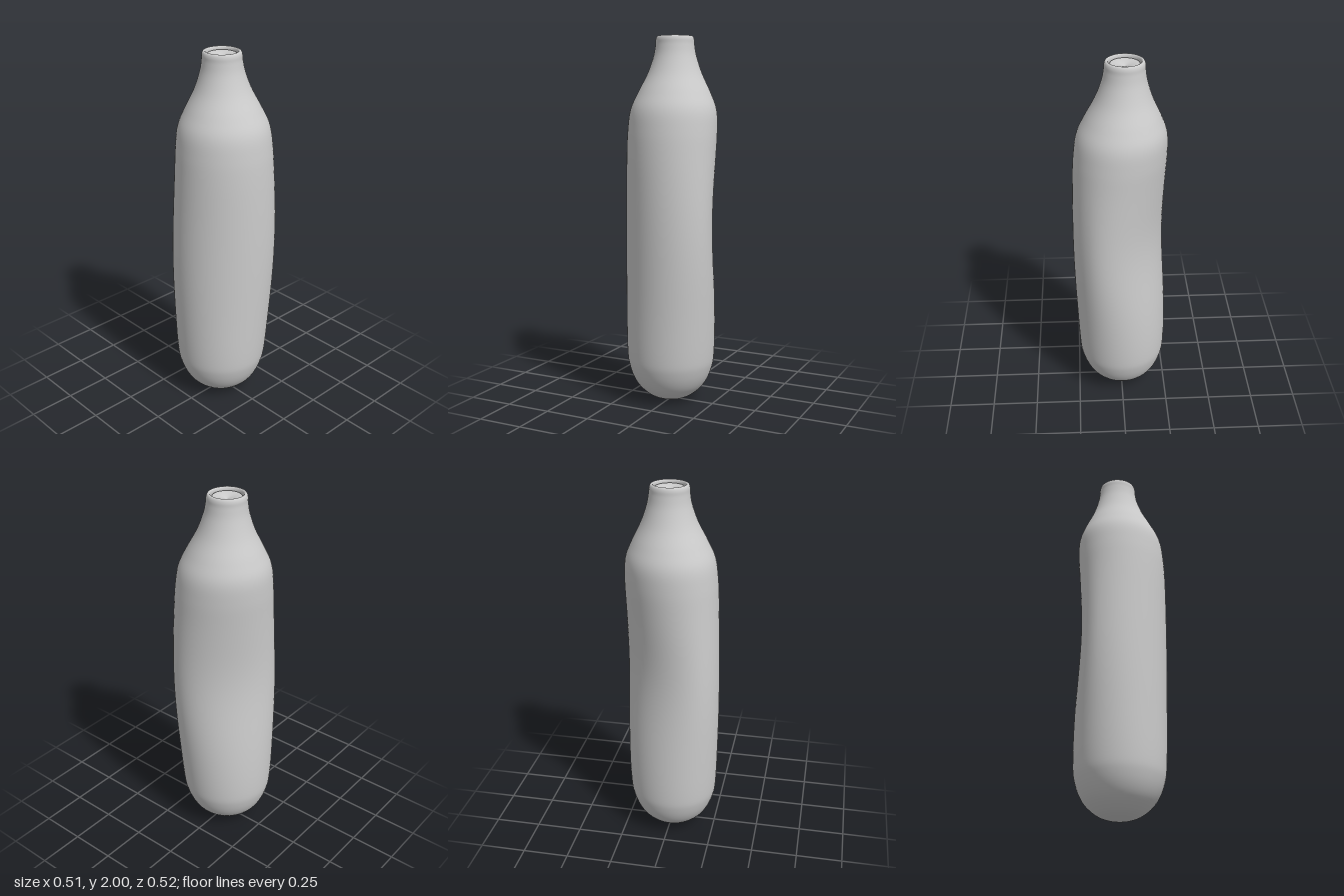
import * as THREE from 'three';
import { mergeVertices } from 'three/addons/utils/BufferGeometryUtils.js';

const ANGLE = 38 * Math.PI / 180; // direction of the wide axis
const bell = (y, mid, width) => Math.exp(-(((y - mid) / width) ** 2));

// Turn a round profile, then widen the body, hollow its back and offset the neck.
function bodyLathe(points) {
  let geo = new THREE.LatheGeometry(points, 64);
  const pos = geo.attributes.position;
  const s = Math.sin(ANGLE), c = Math.cos(ANGLE);
  for (let i = 0; i < pos.count; i++) {
    const y = pos.getY(i);
    let v = pos.getX(i) * (1 + 0.15 * bell(y, 0.9, 0.6));
    let u = -pos.getZ(i);
    if (u > 0) u *= 1 - 0.19 * bell(y, 1.0, 0.4);
    u += 0.02 * THREE.MathUtils.smoothstep(y, 1.3, 1.95);
    v -= 0.01 * Math.cos(Math.PI * y / 1.3);
    pos.setXYZ(i, v * s - u * c, y, -v * c - u * s);
  }
  // weld the seam so the shading stays smooth all round
  geo.deleteAttribute('uv');
  geo.deleteAttribute('normal');
  geo = mergeVertices(geo, 1e-5);
  geo.computeVertexNormals();
  return geo;
}

const vec = (list) => list.map(([r, y]) => new THREE.Vector2(r, y));
const smooth = (list, n) => new THREE.SplineCurve(vec(list)).getPoints(n);

export function createModel() {
  const group = new THREE.Group();
  const material = new THREE.MeshStandardMaterial({ color: 0xcccccc, side: THREE.DoubleSide });
  const add = (name, points) => {
    const mesh = new THREE.Mesh(bodyLathe(points), material);
    mesh.name = name;
    group.add(mesh);
  };

  // rounded base, body, shoulder, neck and rolled lip
  add('bottle', smooth([
    [0, 0.004], [0.07, 0.012], [0.13, 0.04], [0.19, 0.1], [0.228, 0.19], [0.241, 0.3],
    [0.244, 0.6], [0.245, 1.0], [0.245, 1.35], [0.243, 1.5], [0.232, 1.61], [0.196, 1.7],
    [0.147, 1.8], [0.116, 1.89], [0.105, 1.95], [0.103, 1.98], [0.098, 1.995],
    [0.09, 2.0], [0.084, 1.996], [0.081, 1.985], [0.08, 1.965],
  ], 120));

  // shallow dished stopper with a tiny dimple in the middle
  add('stopper', vec([
    [0.08, 1.965], [0.077, 1.975], [0.074, 1.984], [0.068, 1.986], [0.05, 1.983],
    [0.03, 1.978], [0.012, 1.971], [0.006, 1.966], [0.004, 1.96], [0, 1.96],
  ]));

  return group;
}
